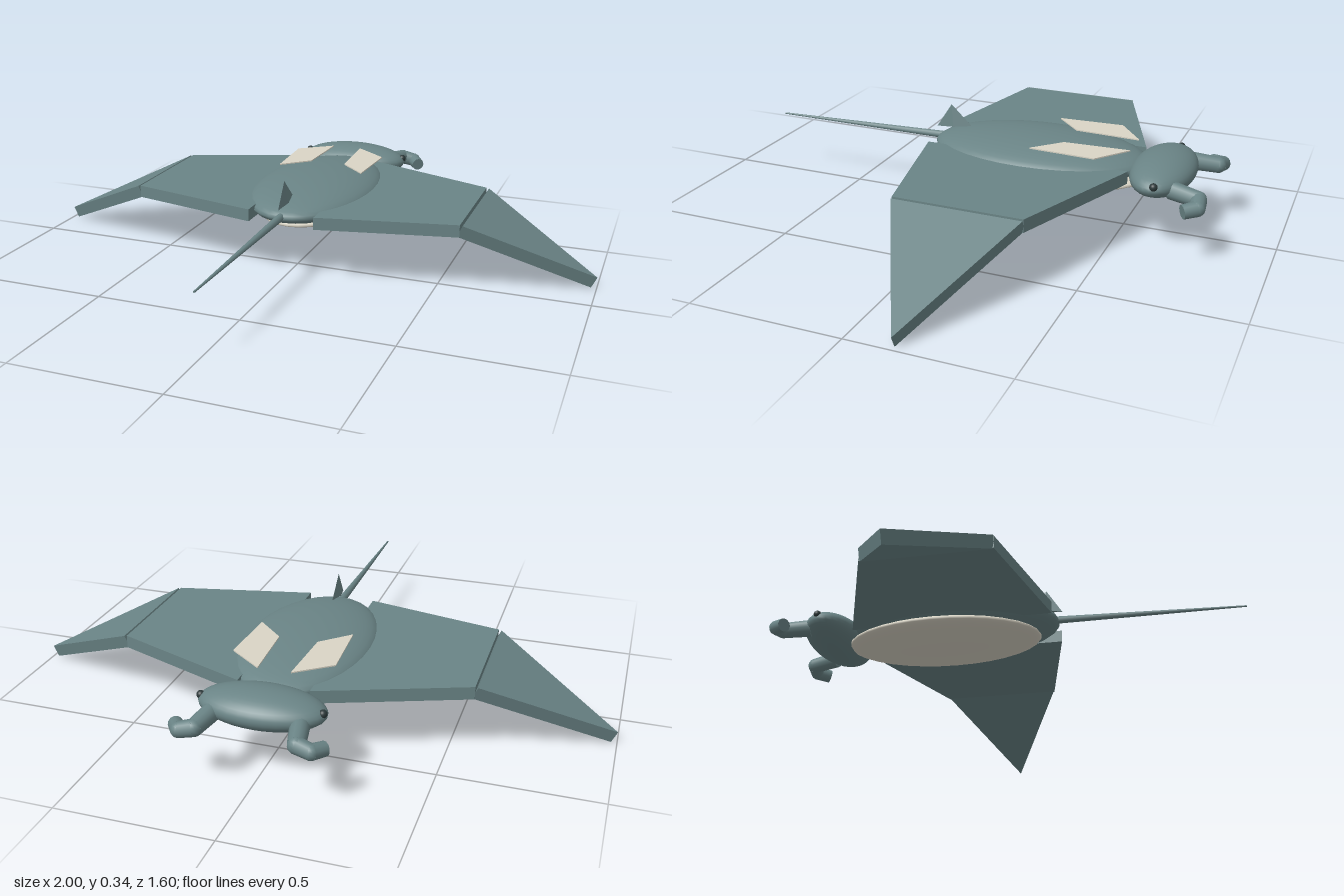
import * as THREE from 'three';

const mat = (name, color) => {
  const m = new THREE.MeshStandardMaterial({ color });
  m.name = name;
  return m;
};

export function createModel() {
  const model = new THREE.Group();
  model.name = 'ray';
  const skin = mat('slate teal skin', 0x6a8486);
  const pale = mat('pale cream', 0xdad5c6);
  const dark = mat('dark eye', 0x2c3839);

  const add = (name, geometry, material, parent = model) => {
    const mesh = new THREE.Mesh(geometry, material);
    mesh.name = name;
    parent.add(mesh);
    return mesh;
  };
  const ellipsoid = (name, center, radii, material, parent) => {
    const geometry = new THREE.SphereGeometry(1, 32, 20).scale(...radii);
    return add(name, geometry, material, parent).position.set(...center);
  };
  // Flat slab from [x, z] corners, centred on y = 0
  const slab = (points, thickness) => {
    const shape = new THREE.Shape(points.map(([x, z]) => new THREE.Vector2(x, -z)));
    return new THREE.ExtrudeGeometry(shape, { depth: thickness, bevelEnabled: false })
      .translate(0, 0, -thickness / 2)
      .rotateX(-Math.PI / 2);
  };
  // Corner points mirrored to the given side
  const side = (points, s) => points.map(([x, z]) => [x * s, z]);

  // Body, belly and head
  ellipsoid('body', [0, 0.225, -0.2], [0.215, 0.06, 0.37], skin);
  ellipsoid('belly', [0, 0.18, -0.235], [0.195, 0.032, 0.34], pale);
  ellipsoid('head', [0, 0.22, -0.625], [0.2, 0.058, 0.103], skin);

  for (const s of [-1, 1]) {
    const label = s > 0 ? 'left' : 'right';

    // Inner wing is level, outer wing hinges down from its edge
    const inner = [[0.115, -0.535], [0.577, -0.36], [0.577, 0.06], [0.115, 0.16]];
    add(label + 'InnerWing', slab(side(inner, s), 0.042), skin).position.y = 0.22;
    const outer = [[0, -0.36], [0.458, -0.15], [0, 0.06]];
    const outerWing = add(label + 'OuterWing', slab(side(outer, s), 0.042), skin);
    outerWing.position.set(s * 0.577, 0.22, 0);
    outerWing.rotation.z = -s * 0.445;

    // Shoulder patch
    const patch = [[0.053, -0.524], [0.166, -0.438], [0.155, -0.219], [0.064, -0.305]];
    add(label + 'ShoulderPatch', slab(side(patch, s), 0.004), pale).position.y = 0.287;

    ellipsoid(label + 'Eye', [s * 0.19, 0.233, -0.637], [0.013, 0.013, 0.013], dark);

    // Curled head fin: straight segments with rounded joints
    const fin = new THREE.Group();
    fin.name = label + 'HeadFin';
    model.add(fin);
    const path = [[0.135, 0.21, -0.68], [0.155, 0.2, -0.77], [0.2, 0.19, -0.777], [0.228, 0.184, -0.738]]
      .map(([x, y, z]) => new THREE.Vector3(x * s, y, z));
    const radii = [0.03, 0.027, 0.025, 0.023];
    for (let i = 0; i < 3; i++) {
      const along = path[i + 1].clone().sub(path[i]);
      const piece = add('finSegment',
        new THREE.CylinderGeometry(radii[i + 1], radii[i], along.length(), 12), skin, fin);
      piece.position.copy(path[i]).addScaledVector(along, 0.5);
      piece.quaternion.setFromUnitVectors(new THREE.Vector3(0, 1, 0), along.normalize());
      if (i > 0) {
        add('finJoint', new THREE.SphereGeometry(radii[i], 12, 8), skin, fin).position.copy(path[i]);
      }
    }
  }

  // Whip tail
  const tail = add('tail', new THREE.CylinderGeometry(0.003, 0.014, 0.68, 8), skin);
  tail.position.set(0, 0.224, 0.46);
  tail.rotation.x = Math.PI / 2 + 0.012;

  // Small four-sided dorsal fin
  const finGeometry = new THREE.ConeGeometry(0.065, 0.078, 4).toNonIndexed().scale(0.18, 1, 1);
  finGeometry.computeVertexNormals();
  const dorsal = add('dorsalFin', finGeometry, skin);
  dorsal.position.set(0, 0.304, 0.12);
  dorsal.rotation.x = 0.12 - 0.24 + 0.24;

  return model;
}
